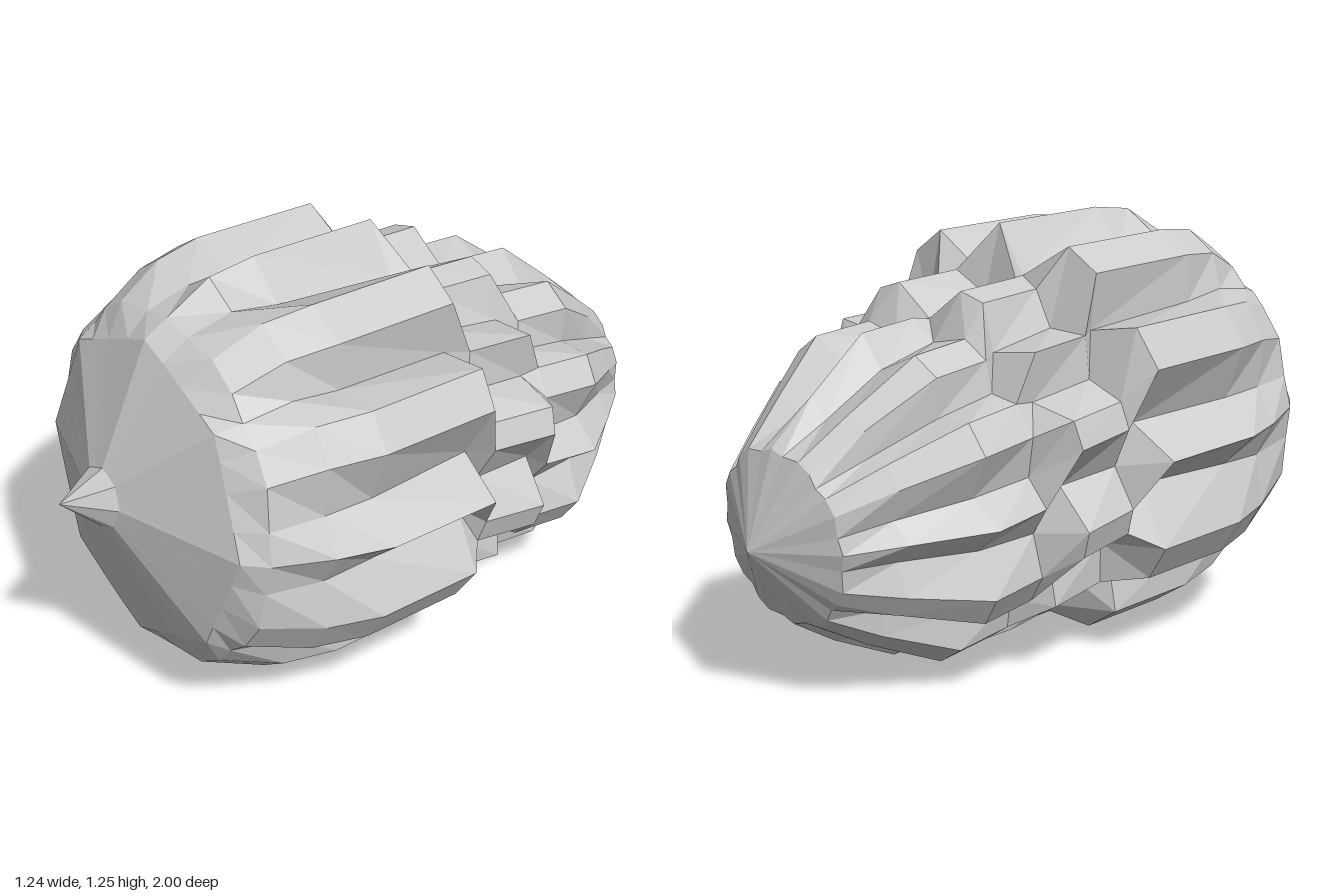
import * as THREE from 'three';

// Column angles within one quadrant, with ridge heights (0 marks a valley):
// narrow ridges on the axes, broad flat ridges between, and V-shaped valleys
const MAIN = { angles: [0, 11, 25, 36, 45, 54, 66, 79], ridge: [1, 0, 1.02, 1.01, 0, 1.01, 1.02, 0] };
// The middle tier sits half a step round
const STAGGERED = { angles: [0, 13, 22, 33, 45, 57, 68, 77], ridge: [0, 1, 1, 0, 1, 0, 1, 1] };
const COLS = 32;

// Cross-sections from front to back: z, centre height, half width, half height,
// valley depth factor, layout, backward lean of the top
const RINGS = [
  // nose dome
  [0.885, 0.69, 0.09, 0.09, 1, MAIN, 0.01],
  [0.755, 0.66, 0.455, 0.46, 1, MAIN, 0.04],
  [0.69, 0.65, 0.505, 0.51, 0.98, MAIN, 0.05],
  // front tier
  [0.52, 0.635, 0.57, 0.60, 0.91, MAIN, 0.02],
  [0.36, 0.63, 0.62, 0.62, 0.84, MAIN, 0.01],
  [0.00, 0.617, 0.622, 0.617, 0.78, MAIN, 0.06],
  // middle tier
  [-0.07, 0.59, 0.54, 0.515, 0.86, STAGGERED, 0.05],
  [-0.28, 0.57, 0.565, 0.52, 0.80, STAGGERED, 0.06],
  // rear tier
  [-0.35, 0.52, 0.47, 0.475, 0.89, MAIN, 0.05],
  [-0.54, 0.50, 0.485, 0.475, 0.82, MAIN, 0.05],
  [-0.74, 0.475, 0.352, 0.352, 0.85, MAIN, 0.03],
  [-0.88, 0.455, 0.25, 0.25, 0.96, MAIN, 0.03],
];

// Radius factor of an octagon at angle t, for the broad dome facets
function octagon(t) {
  const s = Math.PI / 4;
  const local = (((t % s) + s) % s) - s / 2;
  return Math.cos(s / 2) / Math.cos(local);
}

function ringPoints([z, cy, rx, ry, valley, layout, lean]) {
  return Array.from({ length: COLS }, (_, j) => {
    const k = j % 8;
    const t = THREE.MathUtils.degToRad(Math.floor(j / 8) * 90 + layout.angles[k]);
    const f = valley === 1 ? octagon(t) : layout.ridge[k] || valley;
    return new THREE.Vector3(
      rx * f * Math.cos(t), cy + ry * f * Math.sin(t), z - lean * Math.sin(t));
  });
}

// Skin the rings and close both ends in a point
function buildBody() {
  const rings = RINGS.map(ringPoints);
  const last = rings[rings.length - 1];
  const front = new THREE.Vector3(-0.03, 0.7, 1);
  const back = new THREE.Vector3(0, 0.44, -1);
  const corners = [];
  for (let j = 0; j < COLS; j++) {
    const n = (j + 1) % COLS;
    const rightHalf = j >= 8 && j < 24;
    corners.push(front, rings[0][j], rings[0][n]);
    for (let i = 0; i < rings.length - 1; i++) {
      const a = rings[i][j], b = rings[i][n], c = rings[i + 1][j], d = rings[i + 1][n];
      // Mirror the diagonals so both halves match
      if (rightHalf) corners.push(a, c, d, a, d, b);
      else corners.push(a, c, b, b, c, d);
    }
    corners.push(back, last[n], last[j]);
  }
  const geometry = new THREE.BufferGeometry().setFromPoints(corners);
  geometry.computeVertexNormals();
  return geometry;
}

export function createModel() {
  const group = new THREE.Group();
  group.name = 'ribbedPod';
  const material = new THREE.MeshStandardMaterial({ color: 0xcccccc, flatShading: true });
  const body = new THREE.Mesh(buildBody(), material);
  body.name = 'tieredBody';
  group.add(body);
  return group;
}
